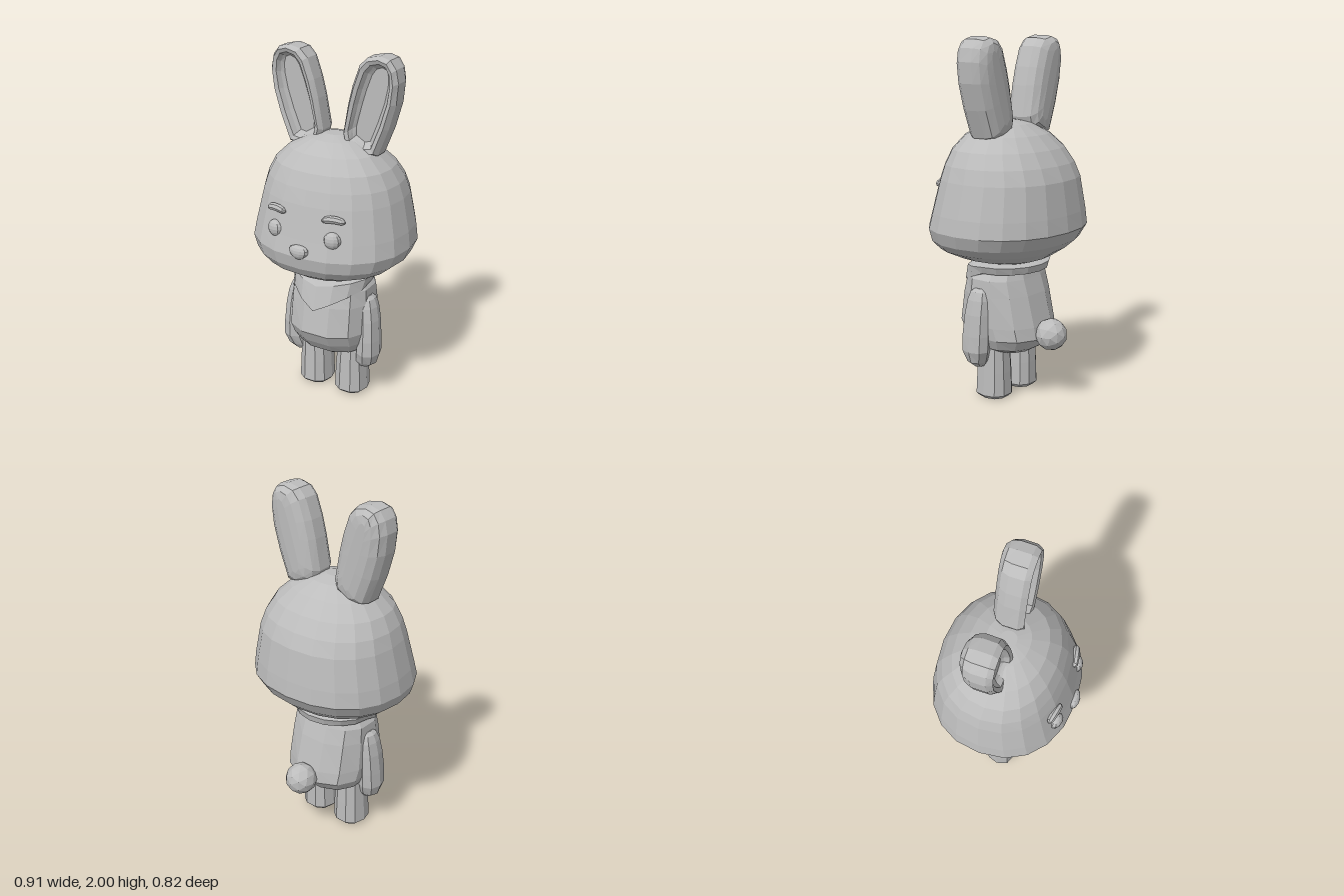
import * as THREE from 'three';

const fur = new THREE.MeshStandardMaterial({ color: 0xbcbcbc, flatShading: true });
fur.name = 'soft grey';

function mesh(geometry, name) {
  const g = geometry.index ? geometry.toNonIndexed() : geometry;
  g.computeVertexNormals();
  const m = new THREE.Mesh(g, fur);
  m.name = name;
  return m;
}

// Skin a stack of closed rings of points and cap both ends
function loft(rings, side = 1) {
  const n = rings[0].length, pos = [], idx = [];
  const mid = r => [0, 1, 2].map(k => r.reduce((s, p) => s + p[k], 0) / n);
  const all = side > 0 ? rings
    : rings.map(r => r.map(([x, y, z]) => [-x, y, z]).reverse());
  all.forEach(r => r.forEach(p => pos.push(...p)));
  const first = n * all.length, last = first + 1, top = n * (all.length - 1);
  pos.push(...mid(all[0]), ...mid(all[all.length - 1]));
  for (let j = 0; j < n; j++) {
    const k = (j + 1) % n;
    for (let i = 0; i < all.length - 1; i++) {
      const a = i * n + j, b = i * n + k;
      idx.push(a, a + n, b + n, a, b + n, b);
    }
    idx.push(first, j, k, last, top + k, top + j);
  }
  const g = new THREE.BufferGeometry();
  g.setAttribute('position', new THREE.Float32BufferAttribute(pos, 3));
  g.setIndex(idx);
  return g;
}

// Horizontal rounded ring: height, centre x, half width, front z, back z
function ring(y, cx, rx, zf, zb, n, power = 2, turn = 0) {
  const soft = v => Math.sign(v) * Math.abs(v) ** (2 / power);
  return Array.from({ length: n }, (_, j) => {
    const a = (j + turn) / n * Math.PI * 2;
    return [cx + rx * soft(Math.cos(a)), y,
      (zf + zb) / 2 + (zf - zb) / 2 * soft(Math.sin(a))];
  });
}

const earOutline = [
  [0.20, 1.46], [0.27, 1.47], [0.33, 1.62], [0.37, 1.76], [0.38, 1.87],
  [0.365, 1.94], [0.33, 1.985], [0.27, 2.0], [0.20, 1.985], [0.155, 1.94],
  [0.115, 1.83], [0.09, 1.73], [0.06, 1.56], [0.08, 1.50],
];

// Ear: hollow front, thick rim, rounded back; each step is z, width scale, height scale
function ear(side) {
  const steps = [[0.0, 0.45, 0.76], [0.015, 0.58, 0.81], [0.042, 0.68, 0.86],
    [0.05, 0.84, 0.94], [0.02, 0.99, 1], [-0.06, 1, 1], [-0.10, 0.86, 0.97],
    [-0.125, 0.58, 0.87], [-0.133, 0.25, 0.72]];
  return loft(steps.map(([z, sx, sy]) => earOutline.map(([x, y]) => {
    const cx = 0.225 + (y - 1.74) * 0.22 * (1 - sx);
    return [cx + (x - 0.225) * sx, 1.74 + (y - 1.74) * sy, z];
  })), side);
}

// Neck scarf: a band whose lower edge drops to a point in front
function scarf() {
  const drape = (y, rx, zf, zb, drop, out) => ring(y, 0, rx, zf, zb, 16).map(([x, h, z]) => {
    const d = z > 0.01 ? Math.max(0, 1 - Math.abs(x) / 0.29) : 0;
    return [x, h - d * drop, z + d * out];
  });
  return loft([
    drape(0.74, 0.17, 0.15, -0.15, 0, 0),
    drape(0.725, 0.215, 0.19, -0.19, 0.135, 0.03),
    drape(0.73, 0.235, 0.21, -0.225, 0.145, 0.04),
    drape(0.77, 0.25, 0.2, -0.235, 0.05, 0.01),
    drape(0.778, 0.2, 0.165, -0.19, 0, 0),
  ]);
}

export function createModel() {
  const model = new THREE.Group();
  model.name = 'rabbit';
  const add = (g, name) => model.add(mesh(g, name));

  // Head
  add(loft([
    [0.77, 0.15, 0.17, -0.15], [0.80, 0.26, 0.27, -0.24], [0.85, 0.37, 0.35, -0.315],
    [0.90, 0.43, 0.382, -0.37], [0.97, 0.457, 0.395, -0.412], [1.06, 0.444, 0.37, -0.402],
    [1.24, 0.405, 0.325, -0.375], [1.32, 0.38, 0.298, -0.34], [1.40, 0.335, 0.262, -0.285],
    [1.475, 0.255, 0.2, -0.21], [1.53, 0.14, 0.11, -0.125], [1.55, 0.05, 0.04, -0.05],
  ].map(([y, rx, zf, zb]) => ring(y, 0, rx, zf, zb, 20, 2.25))), 'head');

  // Body
  add(loft([
    [0.27, 0.15, 0.12, -0.17], [0.30, 0.21, 0.165, -0.22], [0.36, 0.24, 0.21, -0.265],
    [0.43, 0.248, 0.245, -0.255], [0.60, 0.245, 0.212, -0.21], [0.69, 0.24, 0.185, -0.18],
    [0.74, 0.205, 0.165, -0.165], [0.79, 0.17, 0.15, -0.14],
  ].map(([y, rx, zf, zb]) => ring(y, 0, rx, zf, zb, 12, 2.4, 0.5))), 'body');

  add(scarf(), 'scarf');

  // Tail
  add(new THREE.IcosahedronGeometry(0.09, 1).translate(0, 0.385, -0.305), 'tail');

  // Nose: rounded, wide on top and narrow below
  const nose = new THREE.SphereGeometry(1, 10, 8), p = nose.attributes.position;
  for (let i = 0; i < p.count; i++) {
    const y = p.getY(i);
    p.setXYZ(i, p.getX(i) * 0.056 * (1 + 0.3 * y), 1.0 + 0.04 * y,
      0.384 + 0.029 * p.getZ(i));
  }
  add(nose, 'nose');

  for (const s of [1, -1]) {
    const tag = s > 0 ? 'left' : 'right';

    add(ear(s), tag + 'Ear');

    // Eye
    add(new THREE.SphereGeometry(1, 10, 8).scale(0.047, 0.047, 0.032)
      .rotateY(s * 0.25).translate(s * 0.175, 1.085, 0.335), tag + 'Eye');

    // Eyebrow: a short arched roll with tapered ends
    const brow = [[0.112, 0.006], [0.125, 0.018], [0.155, 0.021], [0.19, 0.021],
      [0.222, 0.018], [0.235, 0.006]].map(([x, r]) =>
      Array.from({ length: 7 }, (_, j) => {
        const a = j / 7 * Math.PI * 2, t = (x - 0.174) / 0.06;
        return [x, 1.198 - 0.01 * t * t + r * Math.sin(a),
          0.32 - 0.2 * (x - 0.174) + r * Math.cos(a)];
      }));
    add(loft(brow, s), tag + 'Eyebrow');

    // Arm
    add(loft([
      [0.195, 0.212, 0.035, 0.06, 0.0], [0.225, 0.225, 0.062, 0.085, -0.025],
      [0.29, 0.24, 0.068, 0.112, -0.05], [0.38, 0.242, 0.062, 0.112, -0.054],
      [0.50, 0.238, 0.056, 0.1, -0.054], [0.58, 0.23, 0.05, 0.088, -0.052],
      [0.625, 0.222, 0.042, 0.072, -0.04], [0.643, 0.215, 0.026, 0.05, -0.02],
    ].map(([y, cx, rx, zf, zb]) => ring(y, cx, rx, zf, zb, 8, 2.2)), s), tag + 'Arm');

    // Leg
    add(loft([
      [0, 0.117, 0.078, 0.08, -0.08], [0.02, 0.118, 0.098, 0.102, -0.1],
      [0.15, 0.118, 0.093, 0.096, -0.096], [0.34, 0.12, 0.082, 0.087, -0.087],
    ].map(([y, cx, rx, zf, zb]) => ring(y, cx, rx, zf, zb, 10, 2.3)), s), tag + 'Leg');
  }
  return model;
}
